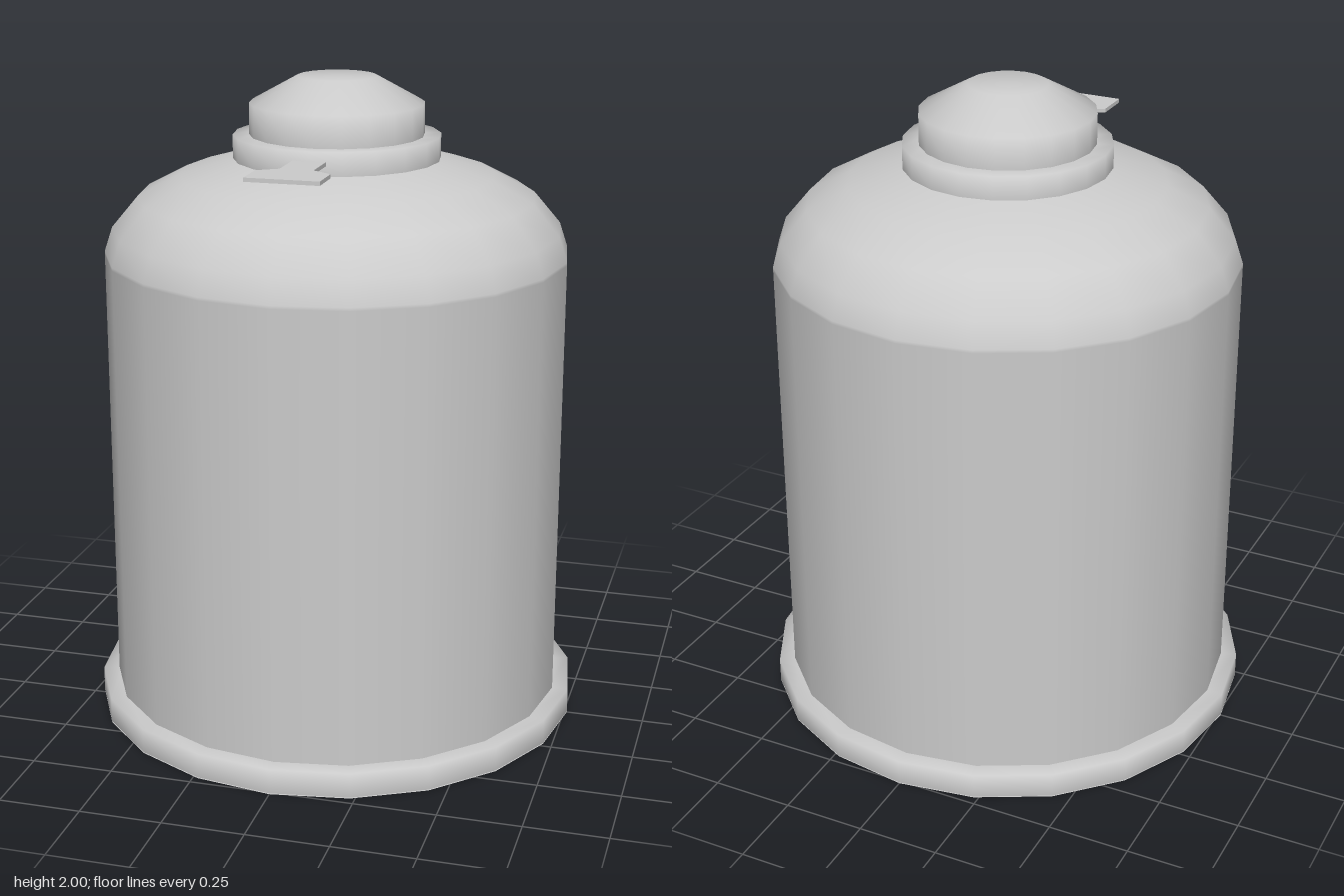
import * as THREE from 'three';

const SIDES = 20;

export function createModel() {
  const model = new THREE.Group();
  const material = new THREE.MeshStandardMaterial({ color: 0xcccccc, side: THREE.DoubleSide });

  const add = (name, geometry) => {
    const mesh = new THREE.Mesh(geometry, material);
    mesh.name = name;
    model.add(mesh);
    return mesh;
  };
  // Turned part from [radius, height] pairs, listed from bottom to top
  const turn = (name, profile) =>
    add(name, new THREE.LatheGeometry(profile.map(([r, y]) => new THREE.Vector2(r, y)), SIDES));

  // Base plate: flat underside and a softly shaded rim
  const underside = new THREE.CircleGeometry(0.76, SIDES);
  underside.rotateX(Math.PI / 2);
  add('baseUnderside', underside);
  turn('baseRim', [[0.75, 0], [0.76, 0.003], [0.76, 0.08], [0.7, 0.08]]);

  // Straight body running into a domed shoulder
  turn('body', [
    [0.71, 0.07], [0.71, 1.46], [0.71, 1.47], [0.685, 1.545],
    [0.605, 1.64], [0.48, 1.705], [0.31, 1.755], [0.25, 1.76],
  ]);

  // Neck collar and bevelled cap
  turn('collar', [[0.315, 1.75], [0.315, 1.825], [0.25, 1.825]]);
  turn('cap', [[0.265, 1.82], [0.265, 1.92], [0.12, 2], [0, 2]]);

  // Thin pull tab reaching forward from the collar
  const outline = [
    [-0.05, 0.28], [0.05, 0.28], [0.05, 0.435], [0.11, 0.475],
    [0.11, 0.585], [-0.11, 0.585], [-0.11, 0.475], [-0.05, 0.435],
  ].map(([x, z]) => new THREE.Vector2(x, z));
  const tab = new THREE.ExtrudeGeometry(new THREE.Shape(outline), { depth: 0.012, bevelEnabled: false });
  tab.rotateX(Math.PI / 2);
  add('pullTab', tab).position.y = 1.796;

  return model;
}
